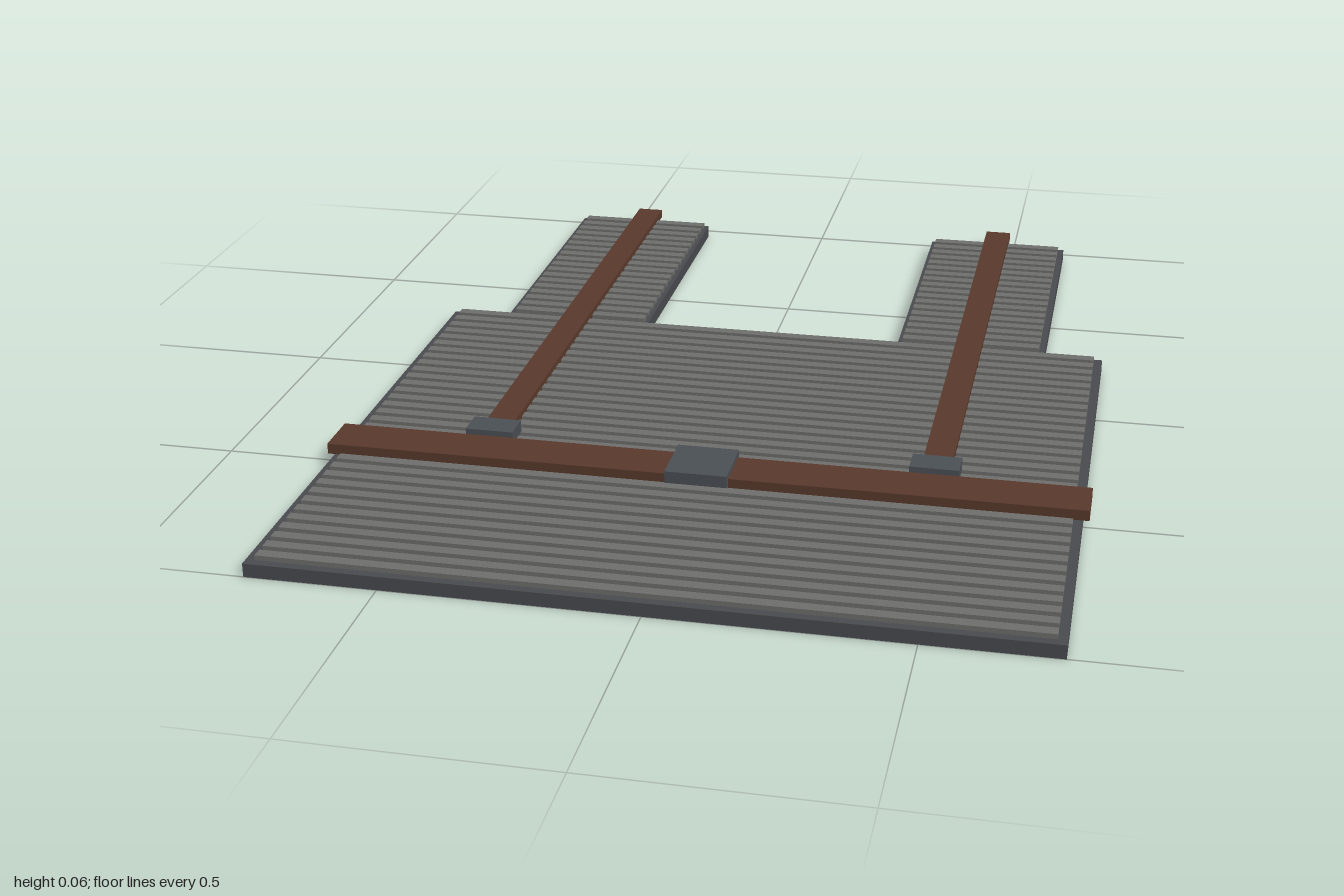
import * as THREE from 'three';

const plateGrey = new THREE.MeshStandardMaterial({ name: 'dark grey plate', color: 0x4a4c50 });
const ribGrey = new THREE.MeshStandardMaterial({ name: 'light grey rib', color: 0x70706f });
const leather = new THREE.MeshStandardMaterial({ name: 'brown leather', color: 0x5a3a2c });
const steel = new THREE.MeshStandardMaterial({ name: 'blue grey metal', color: 0x4c5157 });

// Box given by its limits on each axis
function slab(name, material, [x0, x1], [y0, y1], [z0, z1]) {
  const mesh = new THREE.Mesh(new THREE.BoxGeometry(x1 - x0, y1 - y0, z1 - z0), material);
  mesh.position.set((x0 + x1) / 2, (y0 + y1) / 2, (z0 + z1) / 2);
  mesh.name = name;
  return mesh;
}

// Evenly spaced raised ribs running across x
function ribs(name, xRange, firstZ, count) {
  const group = new THREE.Group();
  group.name = name;
  const pitch = 0.0381, half = 0.0115;
  for (let i = 0; i < count; i++) {
    const z = firstZ - i * pitch;
    group.add(slab('rib', ribGrey, xRange, [0.027, 0.038], [z - half, z + half]));
  }
  return group;
}

export function createModel() {
  const model = new THREE.Group();
  model.name = 'ribbedPanel';

  // Flat base: wide body with two narrow tails towards the back
  const right = [[0.76, 1], [0.76, -0.265], [0.63, -0.265], [0.63, -0.96], [0.295, -0.96], [0.295, -0.265]];
  const left = right.map(([x, z]) => [-x, z]).reverse();
  const outline = new THREE.Shape([...right, ...left].map(([x, z]) => new THREE.Vector2(x, -z)));
  const baseGeometry = new THREE.ExtrudeGeometry(outline, { depth: 0.028, bevelEnabled: false });
  baseGeometry.rotateX(-Math.PI / 2);
  const base = new THREE.Mesh(baseGeometry, plateGrey);
  base.name = 'basePlate';
  model.add(base);

  // Ribs on the body
  model.add(ribs('bodyRibs', [-0.742, 0.742], 0.971, 33));

  // Belt with its central buckle
  model.add(slab('belt', leather, [-0.773, 0.773], [0.03, 0.052], [0.43, 0.53]));
  model.add(slab('buckle', steel, [-0.063, 0.063], [0.032, 0.063], [0.418, 0.543]));

  // Tail ribs, straps and strap clips on both sides
  for (const [side, s] of [['left', 1], ['right', -1]]) {
    const span = (a, b) => (s > 0 ? [a, b] : [-b, -a]);
    model.add(ribs(side + 'TailRibs', span(0.305, 0.617), -0.294, 18));
    model.add(slab(side + 'Strap', leather, span(0.43, 0.49), [0.03, 0.05], [-1, 0.43]));
    model.add(slab(side + 'Clip', steel, span(0.41, 0.51), [0.03, 0.063], [0.367, 0.428]));
  }
  return model;
}
